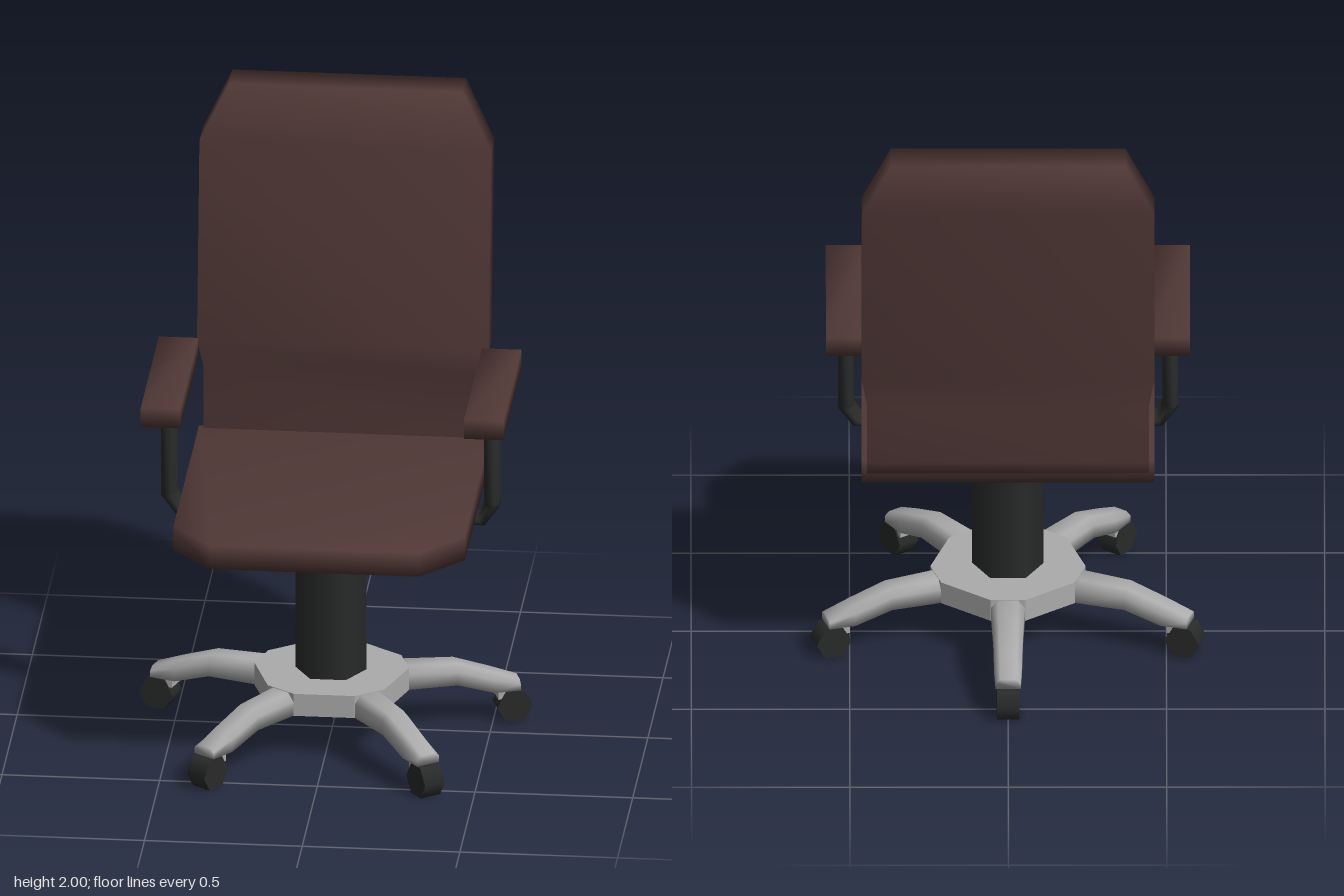
import * as THREE from 'three';

const upholstery = new THREE.MeshStandardMaterial({ name: 'upholstery', color: 0x503836 });
const plastic = new THREE.MeshStandardMaterial({ name: 'blackPlastic', color: 0x292a2a });
const metal = new THREE.MeshStandardMaterial({ name: 'silverMetal', color: 0xababab });

const BASE_Z = 0.05; // axis of the swivel column

function add(parent, name, geometry, material, x = 0, y = 0, z = 0) {
  const mesh = new THREE.Mesh(geometry, material);
  mesh.name = name;
  mesh.position.set(x, y, z);
  parent.add(mesh);
  return mesh;
}

// Skin equal-length loops (counter-clockwise about the travel direction) and cap both ends.
function loft(loops, smooth = true) {
  const n = loops[0].length;
  const index = [];
  for (let i = 0; i < loops.length - 1; i++) {
    for (let j = 0; j < n; j++) {
      const a = i * n + j, b = i * n + (j + 1) % n;
      index.push(a, b, a + n, b, b + n, a + n);
    }
  }
  const last = (loops.length - 1) * n;
  for (let j = 1; j < n - 1; j++) {
    index.push(0, j + 1, j, last, last + j, last + j + 1);
  }
  let g = new THREE.BufferGeometry();
  g.setAttribute('position', new THREE.Float32BufferAttribute(loops.flat(2), 3));
  g.setIndex(index);
  if (!smooth) g = g.toNonIndexed();
  g.computeVertexNormals();
  return g;
}

// Upright slab with an outline of [x, z] points
const slab = (outline, y0, y1, smooth) =>
  loft([y0, y1].map(y => outline.map(([x, z]) => [x, y, z])), smooth);

function createSeat() {
  const g = new THREE.Group();
  g.name = 'seatAndBack';
  add(g, 'seat', slab([[-0.33, 0.59], [0.33, 0.59], [0.462, 0.44],
    [0.462, -0.4], [-0.462, -0.4], [-0.462, 0.44]], 0.765, 0.845), upholstery);

  // Backrest rows: height, half width, front z, rear z
  const rows = [
    [0.8, 0.445, -0.385, -0.402], [0.85, 0.445, -0.38, -0.42],
    [1.06, 0.445, -0.375, -0.43], [1.16, 0.462, -0.335, -0.443],
    [1.81, 0.462, -0.416, -0.53], [2, 0.37, -0.44, -0.555],
  ];
  add(g, 'backrest', loft(rows.map(([y, w, f, b]) =>
    [[-w, y, f], [w, y, f], [w, y, b], [-w, y, b]])), upholstery);
  return g;
}

function createArm(name) {
  const g = new THREE.Group();
  g.name = name;
  // Bent bracket: centre x, y, half-thickness vector, half depth
  const path = [
    [0.26, 0.75, 0, 0.015, 0.04], [0.477, 0.75, -0.012, 0.015, 0.045],
    [0.512, 0.8, -0.024, 0, 0.047], [0.512, 0.815, -0.024, 0, 0.056],
    [0.512, 1.145, -0.024, 0, 0.056],
  ];
  const section = [[1, -0.6], [1, 0.6], [0.45, 1], [-0.45, 1],
    [-1, 0.6], [-1, -0.6], [-0.45, -1], [0.45, -1]];
  add(g, 'armBracket', loft(path.map(([x, y, nx, ny, d]) =>
    section.map(([n, b]) => [x + nx * n, y + ny * n, b * d]))), plastic);
  add(g, 'armPad', slab([[0.45, 0.298], [0.575, 0.298],
    [0.575, -0.298], [0.45, -0.298]], 1.14, 1.205), upholstery);
  g.position.z = 0.047;
  return g;
}

function createBase() {
  const g = new THREE.Group();
  g.name = 'base';
  g.position.z = BASE_Z;

  // Hexagonal column and mounting plate, corners on the x axis
  const hex = (r, h) => new THREE.CylinderGeometry(r, r, h, 6).rotateY(Math.PI / 6);
  add(g, 'column', hex(0.113, 0.6), plastic, 0, 0.415);
  add(g, 'mountingPlate', hex(0.185, 0.065), plastic, 0, 0.7325);

  // Ten-sided hub whose short sides meet the legs
  const outline = [];
  const R = 0.24, W = 0.055;
  for (let i = 0; i < 5; i++) {
    const a = (36 + 72 * i) * Math.PI / 180;
    for (const w of [-W, W]) {
      outline.push([R * Math.sin(a) + w * Math.cos(a), R * Math.cos(a) - w * Math.sin(a)]);
    }
  }
  add(g, 'hub', slab(outline, 0.145, 0.22, false), metal);

  // Leg rows: radius, half width, bottom, top
  const rows = [[0.2, 0.055, 0.145, 0.22], [0.4, 0.047, 0.143, 0.211],
    [0.52, 0.044, 0.105, 0.17], [0.605, 0.04, 0.105, 0.138]];
  const legGeometry = loft(rows.map(([r, w, b, t]) => {
    const s = t - (t - b) * 0.35;
    return [[w, b, r], [w, s, r], [w * 0.6, t, r], [-w * 0.6, t, r], [-w, s, r], [-w, b, r]];
  }));
  // Wheel axle runs across the leg
  const wheel = new THREE.CylinderGeometry(0.058, 0.058, 0.072, 6)
    .rotateY(Math.PI / 2).rotateZ(Math.PI / 2).rotateX(Math.PI / 2);
  wheel.computeBoundingBox();
  if (wheel.boundingBox.max.y > 0.055) wheel.rotateX(Math.PI / 6);
  for (let i = 0; i < 5; i++) {
    const leg = new THREE.Group();
    leg.name = 'leg' + (i + 1);
    leg.rotation.y = (36 + 72 * i) * Math.PI / 180;
    add(leg, 'legArm', legGeometry, metal);
    add(leg, 'casterStem', new THREE.BoxGeometry(0.06, 0.05, 0.06), metal, 0, 0.1, 0.565);
    add(leg, 'casterWheel', wheel, plastic, 0, 0.0502, 0.588);
    g.add(leg);
  }
  return g;
}

export function createModel() {
  const model = new THREE.Group();
  model.name = 'officeChair';
  const leftArm = createArm('leftArm');
  const rightArm = createArm('rightArm');
  rightArm.rotation.y = Math.PI;
  model.add(createSeat(), leftArm, rightArm, createBase());
  return model;
}
